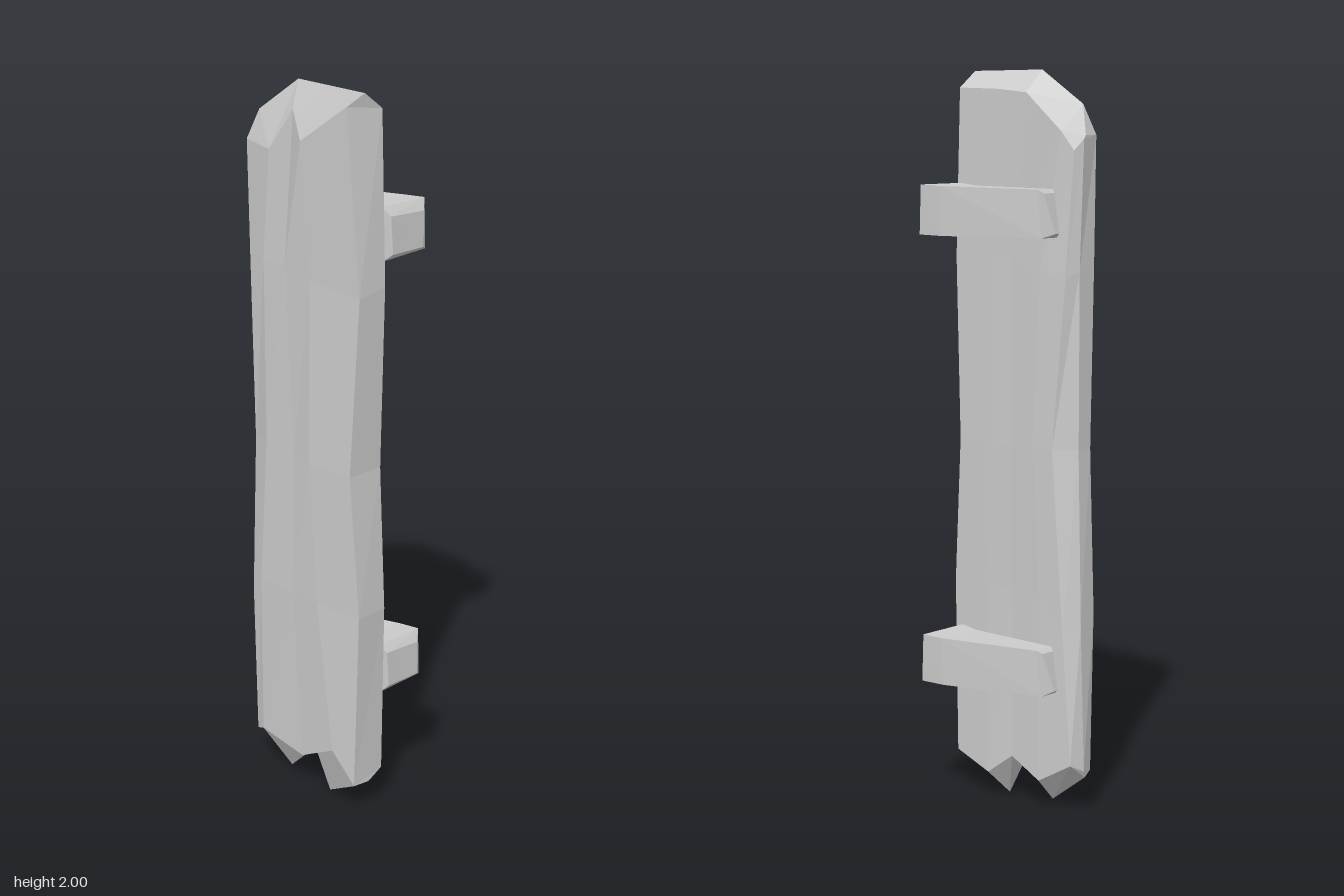
import * as THREE from 'three';

const material = new THREE.MeshStandardMaterial({ color: 0xcccccc, flatShading: true });

// Adds a grid of points (rows run upward, columns left to right seen from outside).
// flip(row, column) picks the other diagonal for a quad.
function patch(out, rows, flip = () => false) {
  const tri = (...points) => {
    const [a, b, c] = points.map((p) => new THREE.Vector3(...p));
    const area = b.clone().sub(a).cross(c.clone().sub(a)).length();
    if (area > 1e-9) points.forEach((p) => out.push(...p));
  };
  for (let r = 0; r < rows.length - 1; r++) {
    for (let i = 0; i < rows[r].length - 1; i++) {
      const a = rows[r][i], b = rows[r][i + 1], c = rows[r + 1][i], d = rows[r + 1][i + 1];
      if (flip(r, i)) { tri(a, b, c); tri(b, d, c); }
      else { tri(a, b, d); tri(a, d, c); }
    }
  }
}

function facetedMesh(name, positions) {
  const geometry = new THREE.BufferGeometry();
  geometry.setAttribute('position', new THREE.Float32BufferAttribute(positions, 3));
  geometry.computeVertexNormals();
  const mesh = new THREE.Mesh(geometry, material);
  mesh.name = name;
  return mesh;
}

function createPlank() {
  // Ragged ridges that close the two ends
  const bottomRidge = [[-0.215, 0.1, 0.08], [-0.1, 0.015, 0.08], [0, 0.11, 0.08], [0.06, 0, 0.08], [0.205, 0.085, 0.07]];
  const topRidge = [[-0.215, 1.83, 0.07], [-0.17, 1.91, 0.112], [-0.055, 2, 0.08], [0.05, 2, 0.08], [0.188, 2, 0.08]];

  // Front face, with the split near the top
  const front = [
    [[-0.2, 0.11, 0.12], [-0.16, 0.13, 0.135], [0, 0.105, 0.13], [0.13, 0.175, 0.137], [0.205, 0.09, 0.125]],
    [[-0.205, 0.55, 0.125], [-0.16, 0.6, 0.135], [-0.03, 0.6, 0.136], [0.07, 0.6, 0.138], [0.218, 0.6, 0.122]],
    [[-0.198, 1, 0.115], [-0.13, 1.02, 0.136], [-0.03, 1, 0.128], [0.04, 1, 0.136], [0.19, 1, 0.13]],
    [[-0.202, 1.5, 0.122], [-0.14, 1.52, 0.13], [-0.055, 1.52, 0.132], [0.04, 1.5, 0.132], [0.203, 1.48, 0.11]],
    [[-0.2, 1.83, 0.13], [-0.105, 1.82, 0.138], [-0.04, 1.93, 0.113], [0.012, 1.86, 0.136], [0.175, 1.97, 0.13]],
  ];

  // Back face, with a worn edge at mid height
  const back = [
    [[-0.205, 0.14, 0.03], [-0.1, 0.08, 0.02], [0, 0.13, 0.022], [0.08, 0.07, 0.012], [0.203, 0.11, 0.02]],
    [[-0.18, 0.5, 0.025], [-0.1, 0.6, 0.02], [0, 0.6, 0.022], [0.09, 0.6, 0.02], [0.212, 0.6, 0.022]],
    [[-0.145, 1, 0.02], [-0.08, 1, 0.016], [0, 1, 0.022], [0.07, 1, 0.018], [0.19, 1, 0.02]],
    [[-0.185, 1.45, 0.025], [-0.1, 1.48, 0.02], [0, 1.5, 0.024], [0.08, 1.5, 0.022], [0.205, 1.5, 0.022]],
    [[-0.205, 1.79, 0.035], [-0.17, 1.84, 0.024], [-0.05, 1.94, 0.022], [0.05, 1.95, 0.022], [0.19, 1.955, 0.022]],
  ];

  // Middle line of the left-hand edge
  const edge = [[-0.22, 0.12, 0.07], [-0.215, 0.52, 0.06], [-0.2, 1, 0.065], [-0.205, 1.48, 0.06], [-0.218, 1.82, 0.06]];

  const out = [];
  patch(out, [bottomRidge, ...front, topRidge], (r, i) => i === 0 && r === 4);
  patch(out, [bottomRidge, ...back, topRidge].map((row) => [...row].reverse()));
  const closeEnds = (rows, i) => [
    rows[0].map(() => bottomRidge[i]), ...rows, rows[0].map(() => topRidge[i]),
  ];
  patch(out, closeEnds(edge.map((p, r) => [back[r][0], p, front[r][0]]), 0));
  patch(out, closeEnds(front.map((row, r) => [row[4], back[r][4]]), 4));
  return facetedMesh('plank', out);
}

// Wedge-shaped batten: each section holds corners in order
// back bottom, back top, front top, front bottom
function createBatten(name, y) {
  const sections = [
    [[-0.176, -0.055, -0.003], [-0.158, 0.05, -0.03], [-0.158, 0.05, 0.012], [-0.176, -0.055, 0.01]],
    [[-0.16, -0.066, -0.04], [-0.148, 0.06, -0.044], [-0.148, 0.06, 0.018], [-0.16, -0.066, 0.02]],
    [[0.12, -0.066, -0.125], [0.12, 0.066, -0.131], [0.12, 0.064, 0.01], [0.12, -0.07, 0.02]],
    [[0.19, -0.064, -0.136], [0.18, 0.069, -0.141], [0.18, 0.07, 0.015], [0.19, -0.07, 0.017]],
    [[0.2, -0.055, -0.12], [0.197, 0.04, -0.122], [0.197, 0.045, -0.005], [0.2, -0.055, -0.01]],
  ];
  const rings = sections.map((s) => [...s, s[0]]);
  const cap = (s) => {
    const centre = [0, 1, 2].map((k) => s.reduce((sum, p) => sum + p[k], 0) / 4);
    return Array(5).fill(centre);
  };
  const out = [];
  patch(out, [cap(sections[0]), ...rings, cap(sections[4])]);
  const mesh = facetedMesh(name, out);
  mesh.position.y = y;
  return mesh;
}

export function createModel() {
  const group = new THREE.Group();
  group.name = 'woodenBoard';
  group.add(createPlank(), createBatten('upperBatten', 1.63), createBatten('lowerBatten', 0.405));
  return group;
}
